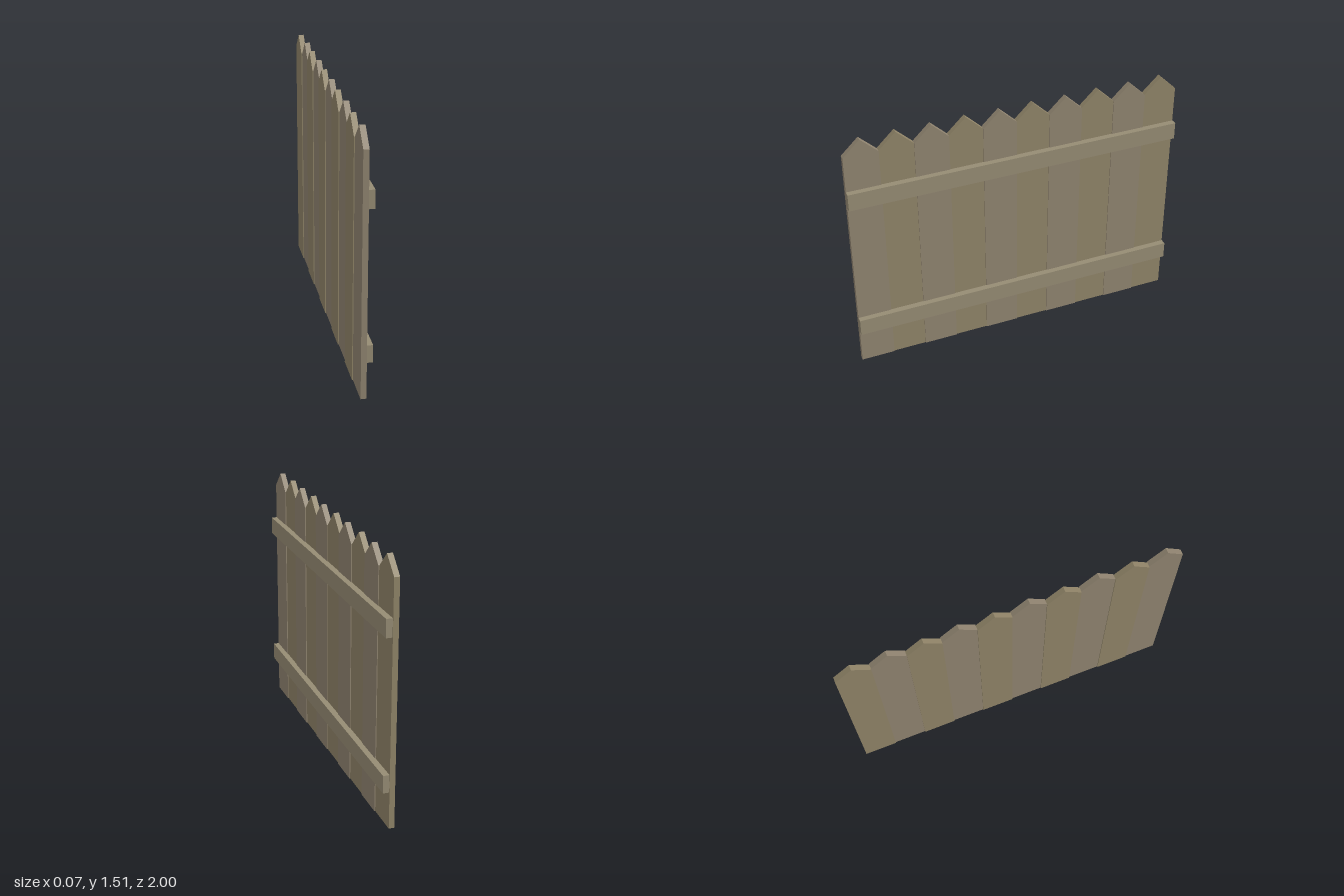
import * as THREE from 'three';

export function createModel() {
  const fence = new THREE.Group();
  fence.name = 'fencePanel';

  const paint = (color) => new THREE.MeshStandardMaterial({ color, flatShading: true });
  const plankColors = [paint(0x908468), paint(0x908470)];
  const railColor = paint(0x968c74);

  const count = 10, width = 0.2, shoulder = 1.42, peak = 1.515, thickness = 0.032;

  // Pointed plank outline, extruded and turned so its thickness runs along x
  const outline = new THREE.Shape([
    [-width / 2, 0], [width / 2, 0], [width / 2, shoulder], [0, peak], [-width / 2, shoulder],
  ].map(([x, y]) => new THREE.Vector2(x, y)));
  const plankGeometry = new THREE.ExtrudeGeometry(outline, { depth: thickness, bevelEnabled: false });
  plankGeometry.rotateY(Math.PI / 2);

  // Planks side by side along z, every second one set slightly back
  for (let i = 0; i < count; i++) {
    const plank = new THREE.Mesh(plankGeometry, plankColors[i % 2]);
    plank.name = `plank${i + 1}`;
    plank.position.set(i % 2 ? -0.031 : -0.036, 0, -1 + width * (i + 0.5));
    fence.add(plank);
  }

  // Two horizontal rails on the +x side
  const railGeometry = new THREE.BoxGeometry(0.036, 0.104, 2);
  [['lowerRail', 0.272], ['upperRail', 1.153]].forEach(([name, y]) => {
    const rail = new THREE.Mesh(railGeometry, railColor);
    rail.name = name;
    rail.position.set(0.016, y, 0);
    fence.add(rail);
  });

  return fence;
}
